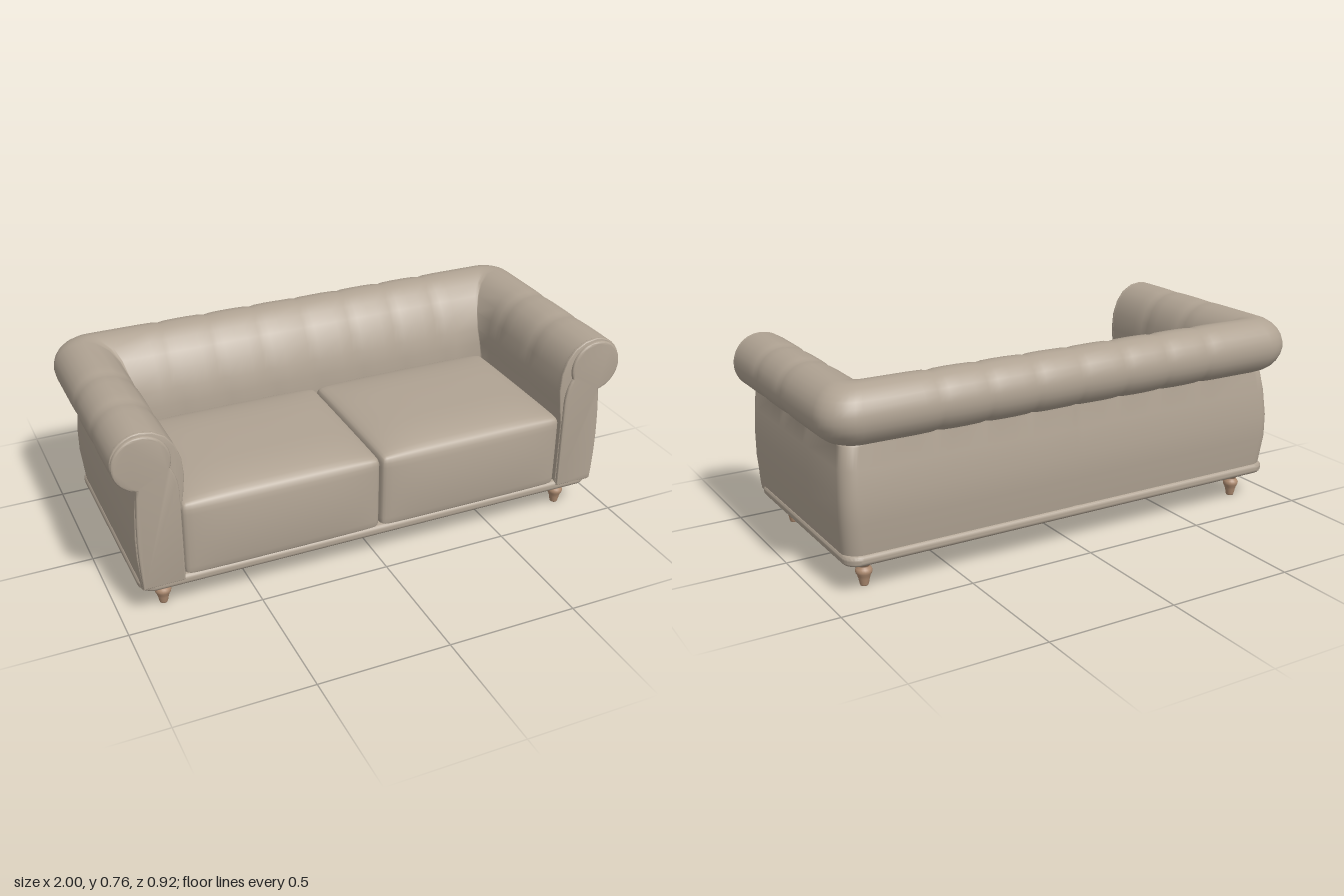
import * as THREE from 'three';
import { mergeVertices, toCreasedNormals } from 'three/addons/utils/BufferGeometryUtils.js';

const leather = new THREE.MeshStandardMaterial({ color: 0xb0a393 });
leather.name = 'taupe leather';
const wood = new THREE.MeshStandardMaterial({ color: 0xb08d72 });
wood.name = 'turned wood';
const lining = new THREE.MeshStandardMaterial({ color: 0x060606 });
lining.name = 'black lining';

const ROLL = { x: 0.89, z: -0.352, y: 0.648, r: 0.109 };

// Cross-section shared by arms and back: x is used along an arm, z along the back,
// round is the plan radius at the outer corner.
function rollProfile() {
  const points = [
    [0.765, -0.16, 0.13], [0.765, -0.16, 0.42], [0.752, -0.163, 0.5], [0.746, -0.176, 0.56],
    [0.752, -0.2, 0.63], [0.772, -0.235, 0.685], [0.802, -0.275, 0.725], [0.845, -0.315, 0.75],
  ].map(([x, z, y]) => ({ x, z, y, round: 0.004 + 0.3 * (x - 0.745) }));
  for (let i = 0; i <= 12; i++) {
    const a = THREE.MathUtils.degToRad(90 - i * 13.5);
    const out = Math.cos(a) * ROLL.r;
    points.push({ x: ROLL.x + out, z: ROLL.z - out, y: ROLL.y + Math.sin(a) * ROLL.r, round: 0.06 + 0.6 * Math.max(out, 0) });
  }
  for (const [x, z, y] of [[0.918, -0.386, 0.538], [0.928, -0.402, 0.46], [0.935, -0.414, 0.36], [0.935, -0.414, 0.27], [0.922, -0.397, 0.13]])
    points.push({ x, z, y, round: 0.06 });
  return points;
}

// Sweep the section round three sides, with a mitred inner and rounded outer corner
function upholsteredShell(profile) {
  const half = [];
  const seam = (key, at) => {
    for (const [d, dent] of [[0.07, 0], [0.022, 0.012], [0, 0.045], [-0.022, 0.012], [-0.07, 0]])
      half.push({ [key]: at + d, dent });
  };
  half.push({ z: 0.442, dent: 0.01 }, { z: 0.42, dent: 0 });
  seam('z', 0.21);
  seam('z', -0.02);
  for (let i = 0; i <= 8; i++) half.push({ turn: i / 8 * Math.PI / 2, dent: 0 });
  for (const x of [0.57, 0.38, 0.19]) seam('x', x);
  half.push({ x: 0.022, dent: 0.012 });
  const stations = [
    ...half.map(s => ({ ...s, side: 1 })),
    { x: 0, dent: 0.045, side: 1 },
    ...half.reverse().map(s => ({ ...s, side: -1 })),
  ];
  const positions = [], index = [], n = profile.length;
  stations.forEach((s, i) => profile.forEach((p, j) => {
    const dent = j < 21 || s.x === 0 ? s.dent : 0;
    let x = THREE.MathUtils.lerp(p.x, ROLL.x, dent);
    let z = THREE.MathUtils.lerp(p.z, ROLL.z, dent);
    const y = p.y > 0.5 ? THREE.MathUtils.lerp(p.y, ROLL.y, dent) : p.y;
    if (s.z !== undefined) z = s.z;
    else if (s.x !== undefined) x = s.x;
    else {
      x += p.round * (Math.cos(s.turn) - 1);
      z += p.round * (1 - Math.sin(s.turn));
    }
    positions.push(x * s.side, y, z);
    if (i < stations.length - 1 && j < n - 1) {
      const a = i * n + j, b = a + n;
      index.push(a, a + 1, b, a + 1, b + 1, b);
    }
  }));
  const geometry = new THREE.BufferGeometry();
  geometry.setAttribute('position', new THREE.Float32BufferAttribute(positions, 3));
  geometry.setIndex(index);
  return toCreasedNormals(geometry, 0.75);
}

// Plate with rounded edges, kept inside its outline
function softPlate(points, depth, bevel) {
  const geometry = new THREE.ExtrudeGeometry(new THREE.Shape(points), {
    depth, bevelEnabled: true, bevelThickness: bevel, bevelSize: bevel, bevelOffset: -bevel, bevelSegments: 5,
  });
  return toCreasedNormals(geometry, 0.6);
}

// Front panel of an arm: round scroll on a straight leg
function scrollOutline() {
  const shape = new THREE.Shape();
  shape.moveTo(0.768, 0.14);
  shape.lineTo(0.922, 0.14);
  shape.quadraticCurveTo(0.94, 0.34, 0.918, 0.542);
  shape.absarc(0.893, 0.643, 0.104, -1.3, 3.5, false);
  shape.quadraticCurveTo(0.77, 0.57, 0.768, 0.5);
  return shape.getPoints(16);
}

// Cushion: box with rounded edges, crowned top and slightly full front
function cushionGeometry(w, h, d, r) {
  const geometry = new THREE.BoxGeometry(2, 2, 2, 20, 16, 20);
  geometry.deleteAttribute('uv');
  geometry.deleteAttribute('normal');
  const pos = geometry.attributes.position;
  const half = new THREE.Vector3(w / 2, h / 2, d / 2);
  const v = new THREE.Vector3(), core = new THREE.Vector3(), limit = half.clone().subScalar(r);
  for (let i = 0; i < pos.count; i++) {
    v.fromBufferAttribute(pos, i);
    v.set(...v.toArray().map(t => Math.sin(t * Math.PI / 2))).multiply(half);
    core.copy(v).clamp(limit.clone().negate(), limit);
    v.sub(core).setLength(r).add(core);
    const u = v.x / half.x, t = v.y / half.y, k = v.z / half.z;
    if (t > 0) v.y += 0.035 * t * (1 - u ** 4) * (1 - k ** 4);
    if (k > 0) v.z += 0.014 * k * (1 - u ** 4) * (1 - t * t);
    pos.setXYZ(i, v.x, v.y, v.z);
  }
  const merged = mergeVertices(geometry, 1e-5);
  merged.computeVertexNormals();
  return merged;
}

function roundedRectangle(w, d, r) {
  const shape = new THREE.Shape();
  const x = w / 2 - r, y = d / 2 - r;
  [[x, y], [-x, y], [-x, -y], [x, -y]].forEach(([cx, cy], i) =>
    shape.absarc(cx, cy, r, i * Math.PI / 2, (i + 1) * Math.PI / 2, false));
  return shape.getPoints(8);
}

export function createModel() {
  const sofa = new THREE.Group();
  sofa.name = 'sofa';
  const add = (name, geometry, material, x = 0, y = 0, z = 0) => {
    const mesh = new THREE.Mesh(geometry, material);
    mesh.name = name;
    mesh.position.set(x, y, z);
    sofa.add(mesh);
    return mesh;
  };

  // Arms and back
  const profile = rollProfile();
  add('armsAndBack', upholsteredShell(profile), leather);

  // Arm fronts and seat cushions
  for (const side of [1, -1]) {
    const name = side > 0 ? 'left' : 'right';
    const flip = points => points.map(p => new THREE.Vector2(p.x * side, p.y));
    add(name + 'ArmEnd', softPlate(flip(profile), 0.004, 0.006), leather, 0, 0, 0.438);
    add(name + 'ArmPanel', softPlate(flip(scrollOutline()), 0.004, 0.009), leather, 0, 0, 0.446);
    add(name + 'Cushion', cushionGeometry(0.764, 0.31, 0.63, 0.03), leather, side * 0.383, 0.288, 0.13);
  }

  // Base moulding and underside
  const base = add('baseRim', softPlate(roundedRectangle(1.86, 0.862, 0.06), 0.006, 0.018), leather, 0, 0.131, 0.02);
  base.rotation.x = -Math.PI / 2;
  const under = add('underside', new THREE.ShapeGeometry(new THREE.Shape(roundedRectangle(1.83, 0.832, 0.045))), lining, 0, 0.1105, 0.02);
  under.rotation.x = Math.PI / 2;

  // Turned legs
  const legProfile = [
    [0, 0], [0.014, 0], [0.016, 0.004], [0.02, 0.025], [0.024, 0.038], [0.029, 0.047], [0.031, 0.056], [0.028, 0.065],
    [0.021, 0.072], [0.022, 0.077], [0.03, 0.083], [0.034, 0.093], [0.034, 0.103], [0.031, 0.114],
  ].map(([r, y]) => new THREE.Vector2(r, y));
  const legGeometry = new THREE.LatheGeometry(legProfile, 24);
  for (const x of [0.83, -0.83])
    for (const z of [0.36, -0.31])
      add((z > 0 ? 'front' : 'back') + (x > 0 ? 'Left' : 'Right') + 'Leg', legGeometry, wood, x, 0, z);

  return sofa;
}
